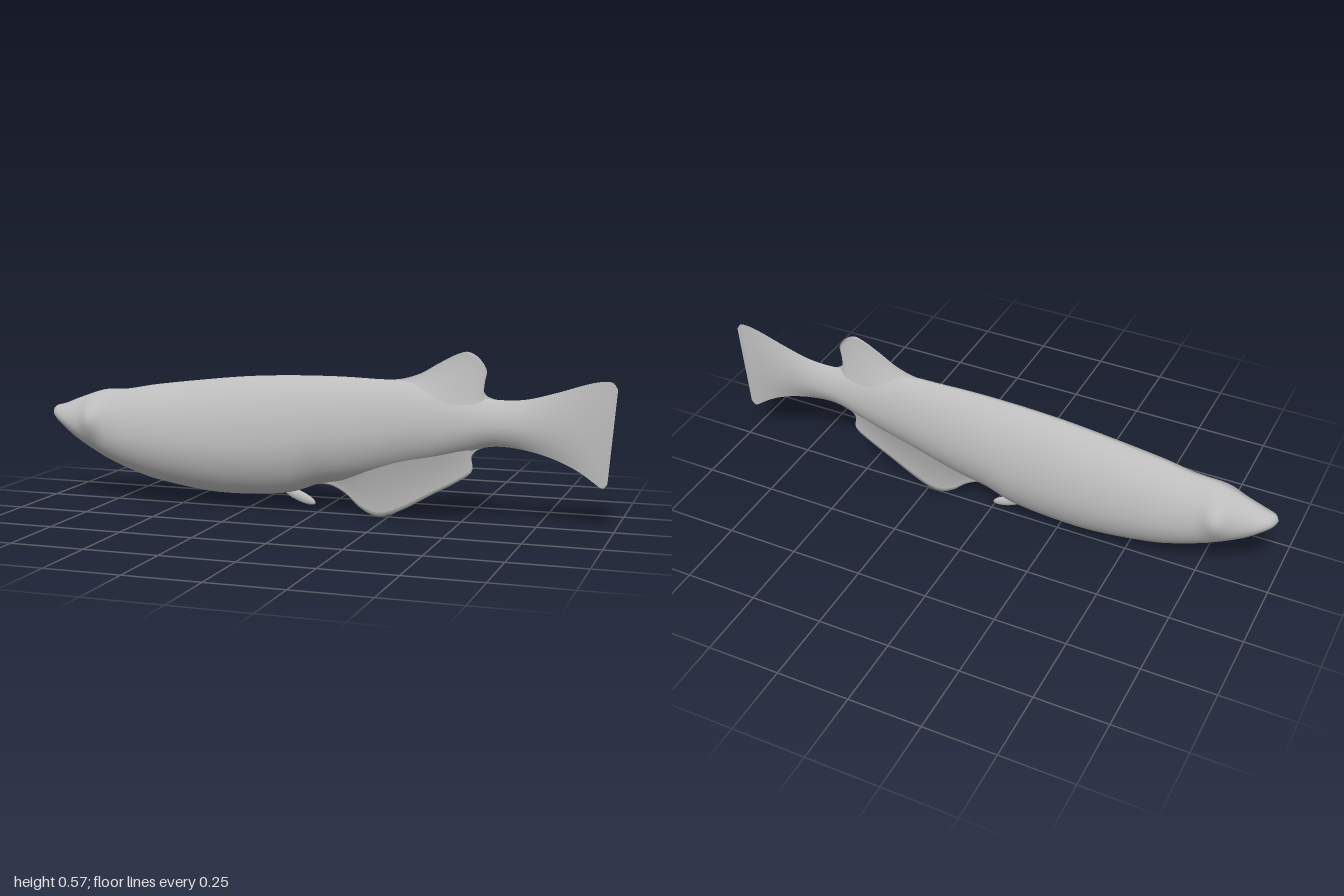
import * as THREE from 'three';

// Body stations: x, top, bottom, half width
const STATIONS = [
  [-1, 0.312, 0.308, 0], [-0.99, 0.328, 0.288, 0.022], [-0.95, 0.34, 0.252, 0.046],
  [-0.9, 0.36, 0.212, 0.058], [-0.8, 0.394, 0.155, 0.074], [-0.75, 0.399, 0.133, 0.081],
  [-0.7, 0.402, 0.114, 0.089], [-0.6, 0.42, 0.085, 0.1], [-0.4, 0.446, 0.055, 0.106],
  [-0.25, 0.462, 0.053, 0.104], [-0.1, 0.471, 0.067, 0.098], [-0.05, 0.472, 0.083, 0.095],
  [0, 0.473, 0.102, 0.092], [0.1, 0.473, 0.122, 0.084], [0.2, 0.47, 0.148, 0.075],
  [0.3, 0.467, 0.178, 0.066], [0.4, 0.452, 0.205, 0.056], [0.5, 0.433, 0.235, 0.046],
  [0.6, 0.418, 0.262, 0.036], [0.7, 0.42, 0.257, 0.027], [0.8, 0.445, 0.232, 0.018],
  [0.9, 0.477, 0.188, 0.01], [0.95, 0.488, 0.162, 0.006], [0.985, 0.486, 0.145, 0.004],
  [1, 0.465, 0.16, 0],
];

// Smooth interpolation through one column of the stations
function sample(x, col) {
  const S = STATIONS, last = S.length - 1;
  let i = 0;
  while (i < last - 1 && x > S[i + 1][0]) i++;
  const slope = (k) => {
    const a = S[Math.max(k - 1, 0)], b = S[Math.min(k + 1, last)];
    return (b[col] - a[col]) / (b[0] - a[0]);
  };
  const h = S[i + 1][0] - S[i][0], t = (x - S[i][0]) / h, t2 = t * t, t3 = t2 * t;
  return (2 * t3 - 3 * t2 + 1) * S[i][col] + (t3 - 2 * t2 + t) * h * slope(i)
    + (3 * t2 - 2 * t3) * S[i + 1][col] + (t3 - t2) * h * slope(i + 1);
}

// Smooth surface from a rule point(u, v); v may wrap round into a ring
function surface(nu, nv, wrap, point) {
  const pos = [], idx = [], cols = wrap ? nv : nv + 1;
  for (let i = 0; i <= nu; i++) {
    for (let j = 0; j < cols; j++) pos.push(...point(i / nu, j / nv));
  }
  for (let i = 0; i < nu; i++) {
    for (let j = 0; j < nv; j++) {
      const k = (j + 1) % cols;
      const a = i * cols + j, b = i * cols + k, c = a + cols, d = b + cols;
      idx.push(a, b, c, b, d, c);
    }
  }
  const g = new THREE.BufferGeometry();
  g.setAttribute('position', new THREE.Float32BufferAttribute(pos, 3));
  g.setIndex(idx);
  g.computeVertexNormals();
  return g;
}

// Body, eye bulges and tail fin in one flowing loft
function bodyPoint(u, v) {
  const x = -0.3 * Math.cos(Math.PI * u) + 0.7 * (2 * u - 1);
  const top = sample(x, 1), bottom = sample(x, 2), w = Math.max(sample(x, 3), 0);
  const a = v * Math.PI * 2, c = Math.cos(a), s = Math.sin(a);
  const mid = bottom + (top - bottom) * 0.45;
  const y = mid + c * (c > 0 ? top - mid : mid - bottom);
  // sections turn sharper edged towards the tail
  const power = 1.3 + 0.8 * THREE.MathUtils.smoothstep(x, 0.4, 0.8);
  let z = w * Math.pow(Math.abs(s), power);
  const r2 = ((x + 0.82) / 0.042) ** 2 + ((y - 0.3) / 0.062) ** 2;
  z += 0.026 * Math.exp(-r2) * Math.min(1, Math.abs(s) * 2);
  // slanted rear edge of the tail
  const slant = 0.025 * THREE.MathUtils.smoothstep(x, 0.85, 1) * (top - y) / (top - bottom);
  return [x - slant, y, Math.sign(s) * z];
}

// Fin swelling out of the body: root line, outline and root half thickness
function fin(root, outline, thick, up) {
  const curve = new THREE.CatmullRomCurve3(outline.map(([x, y]) => new THREE.Vector3(x, y, 0)));
  curve.arcLengthDivisions = 400;
  const [r0, r1] = root;
  return surface(72, 28, false, (u, v) => {
    const tip = curve.getPointAt(u), s = 2 * v - 1, k = Math.abs(s);
    const x = THREE.MathUtils.lerp(tip.x, r0[0] + (r1[0] - r0[0]) * u, k);
    const y = THREE.MathUtils.lerp(tip.y, r0[1] + (r1[1] - r0[1]) * u, k);
    const t = THREE.MathUtils.lerp(thick[0], thick[1], u) * Math.sqrt(Math.max(0, Math.sin(Math.PI * u)));
    return [x, y, up * Math.sign(s) * t * Math.pow(k, 1.6)];
  });
}

export function createModel() {
  const model = new THREE.Group();
  model.name = 'fish';
  const skin = new THREE.MeshStandardMaterial({ color: 0xbcbcbc, side: THREE.DoubleSide });
  skin.name = 'grey skin';
  const add = (name, geometry) => {
    const mesh = new THREE.Mesh(geometry, skin);
    mesh.name = name;
    model.add(mesh);
    return mesh;
  };

  add('bodyAndTail', surface(220, 72, true, bodyPoint));

  add('dorsalFin', fin([[0.2, 0.43], [0.64, 0.36]], [
    [0.22, 0.466], [0.3, 0.475], [0.36, 0.495], [0.42, 0.53], [0.48, 0.561], [0.515, 0.57],
    [0.55, 0.553], [0.578, 0.512], [0.575, 0.485], [0.567, 0.455], [0.578, 0.43], [0.62, 0.414],
  ], [0.045, 0.033], 1));

  add('analFin', fin([[-0.02, 0.17], [0.6, 0.31]], [
    [-0.01, 0.105], [0.05, 0.1], [0.1, 0.074], [0.15, 0.03], [0.2, 0.006], [0.24, 0.008],
    [0.3, 0.033], [0.4, 0.09], [0.48, 0.135], [0.528, 0.168], [0.537, 0.19], [0.53, 0.218],
    [0.545, 0.243], [0.59, 0.264],
  ], [0.06, 0.032], -1));

  // Small fin under the belly
  const pelvic = add('pelvicFin', new THREE.SphereGeometry(1, 32, 20));
  pelvic.scale.set(0.062, 0.018, 0.011);
  pelvic.rotation.z = -0.38;
  pelvic.position.set(-0.065, 0.057, 0);

  return model;
}
